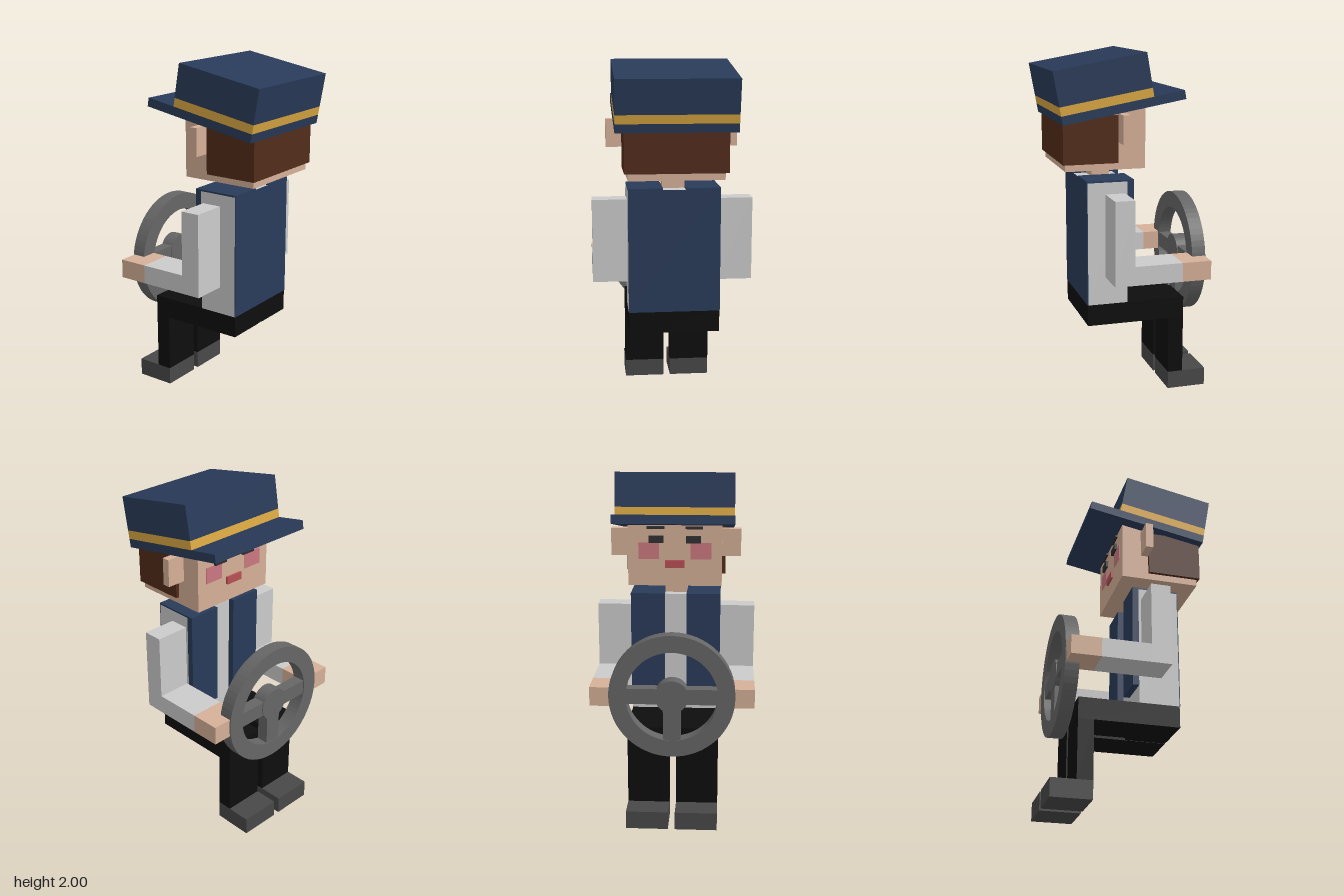
import * as THREE from 'three';

const mat = (color) => new THREE.MeshStandardMaterial({ color });
const navy = mat(0x293b5a), gold = mat(0xdba842), skin = mat(0xd6b098), hair = mat(0x522c1a);
const shirt = mat(0xcccccc), black = mat(0x0e0e0e), shoe = mat(0x484848), steel = mat(0x666666);
const dark = mat(0x303034), lips = mat(0xb85055), blush = mat(0xcc7880);

// Box given by its extents on each axis
function box(parent, name, material, [x0, x1], [y0, y1], [z0, z1]) {
  const mesh = new THREE.Mesh(new THREE.BoxGeometry(x1 - x0, y1 - y0, z1 - z0), material);
  mesh.position.set((x0 + x1) / 2, (y0 + y1) / 2, (z0 + z1) / 2);
  mesh.name = name;
  parent.add(mesh);
  return mesh;
}

// The same box on both sides of x = 0
function pair(parent, name, material, [x0, x1], y, z) {
  box(parent, name + 'Left', material, [x0, x1], y, z);
  box(parent, name + 'Right', material, [-x1, -x0], y, z);
}

function group(parent, name) {
  const g = new THREE.Group();
  g.name = name;
  parent.add(g);
  return g;
}

function buildHat(parent) {
  // Tilted back around its lower rear edge
  const hat = group(parent, 'hat');
  hat.position.set(0, 1.62, 0.41);
  hat.rotation.x = THREE.MathUtils.degToRad(10);
  const w = [-0.34, 0.34];
  box(hat, 'brim', navy, w, [0, 0.05], [-0.71, 0]);
  box(hat, 'hatBand', gold, w, [0.05, 0.1], [-0.53, 0]);
  box(hat, 'crown', navy, w, [0.1, 0.295], [-0.53, 0]);
}

function buildHead(parent) {
  const head = group(parent, 'head');
  box(head, 'neck', skin, [-0.065, 0.065], [1.28, 1.36], [0.08, 0.185]);
  box(head, 'face', skin, [-0.27, 0.27], [1.355, 1.72], [-0.075, 0.385]);
  box(head, 'hair', hair, [-0.29, 0.29], [1.395, 1.66], [0.085, 0.4]);
  pair(head, 'ear', skin, [0.265, 0.38], [1.51, 1.67], [0.04, 0.085]);
  // Facial features on the -z side
  pair(head, 'eye', dark, [0.065, 0.15], [1.605, 1.645], [-0.09, -0.07]);
  pair(head, 'eyebrow', dark, [0.06, 0.16], [1.685, 1.7], [-0.088, -0.07]);
  pair(head, 'cheek', blush, [0.09, 0.21], [1.51, 1.605], [-0.078, -0.07]);
  box(head, 'mouth', lips, [-0.055, 0.055], [1.46, 1.505], [-0.087, -0.07]);
}

function buildTorso(parent) {
  const torso = group(parent, 'torso');
  box(torso, 'shirt', shirt, [-0.264, 0.264], [0.57, 1.283], [0.025, 0.258]);
  // Vest: back, shoulders and two front panels
  box(torso, 'vestBack', navy, [-0.264, 0.264], [0.57, 1.283], [0.258, 0.263]);
  pair(torso, 'vestShoulder', navy, [0.065, 0.264], [1.283, 1.293], [0.025, 0.263]);
  pair(torso, 'vestFront', navy, [0.065, 0.264], [0.675, 1.293], [-0.012, 0.025]);
}

function buildArms(parent) {
  const arms = group(parent, 'arms');
  pair(arms, 'upperArm', shirt, [0.264, 0.465], [0.73, 1.215], [0.04, 0.155]);
  pair(arms, 'forearm', shirt, [0.264, 0.465], [0.73, 0.84], [-0.24, 0.04]);
  pair(arms, 'hand', skin, [0.264, 0.465], [0.73, 0.84], [-0.41, -0.24]);
}

function buildLegs(parent) {
  const legs = group(parent, 'legs');
  box(legs, 'hips', black, [-0.262, 0.262], [0.447, 0.57], [0.02, 0.26]);
  pair(legs, 'thigh', black, [0.02, 0.262], [0.445, 0.57], [-0.32, 0.26]);
  pair(legs, 'shin', black, [0.02, 0.262], [0.105, 0.445], [-0.32, -0.23]);
  pair(legs, 'shoe', shoe, [0.02, 0.262], [0, 0.105], [-0.462, -0.23]);
}

function buildWheel(parent) {
  const wheel = group(parent, 'steeringWheel');
  wheel.position.set(0, 0.79, -0.377);
  const depth = 0.08;
  // Rim: rectangular section turned around the axis
  const shape = new THREE.Shape().absarc(0, 0, 0.357, 0, Math.PI * 2);
  shape.holes.push(new THREE.Path().absarc(0, 0, 0.26, 0, Math.PI * 2, true));
  const rimGeometry = new THREE.ExtrudeGeometry(shape, { depth, bevelEnabled: false, curveSegments: 32 });
  rimGeometry.translate(0, 0, -depth / 2);
  const rim = new THREE.Mesh(rimGeometry, steel);
  rim.name = 'rim';
  const hub = new THREE.Mesh(new THREE.CylinderGeometry(0.095, 0.095, depth, 32), steel);
  hub.rotation.x = Math.PI / 2;
  hub.name = 'hub';
  wheel.add(rim, hub);
  // Three spokes: two level, one down
  pair(wheel, 'spoke', steel, [0.07, 0.275], [-0.045, 0.045], [-0.035, 0.035]);
  box(wheel, 'spokeLower', steel, [-0.05, 0.05], [-0.275, -0.07], [-0.035, 0.035]);
}

export function createModel() {
  const model = new THREE.Group();
  model.name = 'seatedDriver';
  for (const build of [buildHat, buildHead, buildTorso, buildArms, buildLegs, buildWheel]) build(model);
  return model;
}
